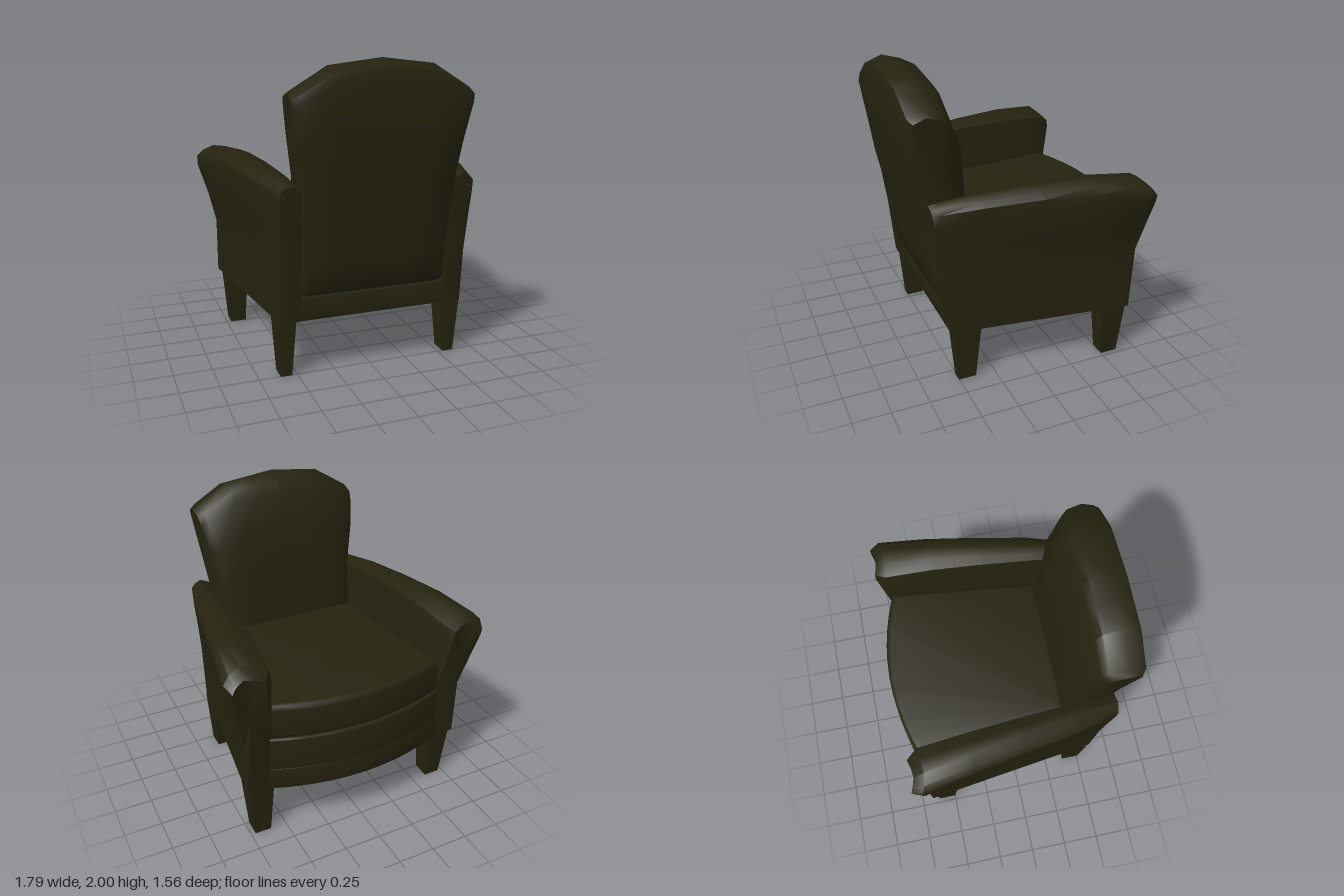
import * as THREE from 'three';
import { toCreasedNormals } from 'three/addons/utils/BufferGeometryUtils.js';

const upholstery = new THREE.MeshStandardMaterial({ color: 0x25230f });
upholstery.name = 'dark olive';

const lerp = THREE.MathUtils.lerp;

// Piecewise linear lookup in a list of [input, output] pairs
function along(table, v) {
  if (v <= table[0][0]) return table[0][1];
  for (let i = 1; i < table.length; i++) {
    const [a, p] = table[i - 1], [b, q] = table[i];
    if (v <= b) return lerp(p, q, (v - a) / (b - a));
  }
  return table[table.length - 1][1];
}

// Closed solid through equal-length rings of [x, y, z], capped at both ends
function loft(rings, crease = 0.75) {
  const n = rings[0].length;
  const pos = rings.flat();
  const idx = [];
  for (let r = 0; r < rings.length - 1; r++) {
    for (let i = 0; i < n; i++) {
      const a = r * n + i, b = r * n + (i + 1) % n;
      idx.push(a, b, b + n, a, b + n, a + n);
    }
  }
  [0, rings.length - 1].forEach((r) => {
    const c = pos.length;
    pos.push([0, 1, 2].map((k) => rings[r].reduce((s, p) => s + p[k], 0) / n));
    for (let i = 0; i < n; i++) {
      const a = r * n + i, b = r * n + (i + 1) % n;
      if (r === 0) idx.push(c, b, a); else idx.push(c, a, b);
    }
  });
  // Turn the faces outward when the enclosed volume comes out negative
  let volume = 0;
  const v = pos.map((p) => new THREE.Vector3(...p));
  for (let i = 0; i < idx.length; i += 3) {
    volume += v[idx[i]].dot(v[idx[i + 1]].clone().cross(v[idx[i + 2]]));
  }
  if (volume < 0) idx.reverse();
  const g = new THREE.BufferGeometry();
  g.setAttribute('position', new THREE.Float32BufferAttribute(pos.flat(), 3));
  g.setIndex(idx);
  return toCreasedNormals(g, crease);
}

function mesh(name, geometry) {
  const m = new THREE.Mesh(geometry, upholstery);
  m.name = name;
  return m;
}

// Trapezoid plan with a bowed seat edge toward -z, extruded upward
function bowedSlab(backX, backZ, frontX, frontZ, bowZ, y0, y1, bevel) {
  const s = new THREE.Shape();
  s.moveTo(-backX + bevel, -backZ + bevel);
  s.lineTo(backX - bevel, -backZ + bevel);
  s.lineTo(frontX - bevel, -frontZ - bevel);
  const steps = 10;
  for (let i = 1; i <= steps; i++) {
    const u = 1 - 2 * i / steps;
    s.lineTo(u * (frontX - bevel), -lerp(bowZ, frontZ, u * u) - bevel);
  }
  const g = new THREE.ExtrudeGeometry(s, {
    depth: y1 - y0 - 2 * bevel, bevelEnabled: true,
    bevelSize: bevel, bevelThickness: bevel, bevelSegments: 3,
  });
  g.rotateX(-Math.PI / 2).translate(0, y0 + bevel, 0);
  return toCreasedNormals(g, 0.75);
}

// Flared arm: sections follow the side from the seat front (t = 0) to the rear (t = 1)
function armGeometry(side) {
  const frontZ = [[0.76, -0.65], [1.0, -0.70], [1.25, -0.74], [1.33, -0.70]];
  const rearZ = [[0.54, 0.555], [0.76, 0.59], [1.27, 0.66]];
  const topY = [[0, 1.32], [0.27, 1.35], [0.52, 1.34], [0.8, 1.31], [1, 1.27]];
  const flare = [[0, 0.13], [0.78, 0.06], [1, 0.015]];
  const section = (t, inset) => {
    const xi = lerp(0.6, 0.49, t), xo = lerp(0.775, 0.62, t);
    const w = xo + along(flare, t), top = along(topY, t);
    const peak = lerp(0.79, 0.57, t), drop = lerp(1, 0.6, t);
    const points = [
      [xi, 0.38], [xi, 0.76], [xi, top - 0.12], [xi + 0.01, top - 0.05 * drop],
      [lerp(xi, peak, 0.5), top - 0.015], [peak, top],
      [lerp(peak, w, 0.65), top - 0.035 * drop], [w, top - 0.08 * drop],
      [w, top - 0.14], [lerp(xo, w, 0.55), 1.0], [xo, 0.76], [xo, 0.38],
    ];
    return points.map(([x, y]) => {
      // the upper end is pulled in to round the front of the arm
      const k = inset * THREE.MathUtils.smoothstep(y, 0.76, 1.2);
      const z = lerp(along(frontZ, y), along(rearZ, y), t);
      return [side * lerp(x, lerp(xi, w, 0.55), k), lerp(y, 1.15, k), z];
    });
  };
  const stations = [0.05, 0.27, 0.52, 0.78, 0.96, 1];
  return loft([section(0, 0.3), ...stations.map((t) => section(t, 0))]);
}

// Leaning backrest: side profile repeated across the width under an arched top
function backrestGeometry() {
  const profile = [ // [z, y]
    [0.555, 0.54], [0.585, 0.57], [0.60, 0.76], [0.71, 1.27], [0.745, 1.6],
    [0.775, 1.89], [0.76, 1.955], [0.65, 2.0], [0.53, 1.965], [0.49, 1.9],
    [0.41, 1.67], [0.38, 1.3], [0.34, 0.97], [0.33, 0.54],
  ];
  const halfWidth = [[0.54, 0.49], [1.2, 0.49], [1.43, 0.515], [1.81, 0.585]];
  const arch = [[0, 2.0], [0.58, 1.96], [1, 1.81]];
  const station = (u, pinch) => profile.map(([z, y]) => {
    const top = along(arch, Math.abs(u));
    const yy = y > 1.2 ? 1.2 + (y - 1.2) * (top - 1.2) / 0.8 : y;
    const mid = lerp(0.45, 0.65, THREE.MathUtils.clamp((y - 0.54) / 1.46, 0, 1));
    return [u * along(halfWidth, yy), yy, lerp(z, mid, pinch)];
  });
  return loft([
    station(-1, 0.25), station(-0.92, 0.05), station(-0.58, 0), station(-0.3, 0),
    station(0, 0), station(0.3, 0), station(0.58, 0), station(0.92, 0.05),
    station(1, 0.25),
  ]);
}

// Tapered square leg given as [x0, x1, z0, z1] at the top and the foot
function legGeometry(side, top, foot) {
  const ring = ([x0, x1, z0, z1], y) =>
    [[x0, z0], [x1, z0], [x1, z1], [x0, z1]].map(([x, z]) => [side * x, y, z]);
  return loft([ring(foot, 0), ring(top, 0.39)], 0.3);
}

export function createModel() {
  const chair = new THREE.Group();
  chair.name = 'armchair';

  chair.add(mesh('seatFrame', bowedSlab(0.615, 0.555, 0.63, -0.655, -0.78, 0.38, 0.53, 0.002)));
  chair.add(mesh('seatApron', bowedSlab(0.48, 0.5, 0.63, -0.655, -0.78, 0.5, 0.76, 0.012)));
  chair.add(mesh('seatCushion', bowedSlab(0.49, 0.36, 0.605, -0.665, -0.772, 0.755, 1.0, 0.035)));
  chair.add(mesh('backrest', backrestGeometry()));

  for (const side of [1, -1]) {
    const label = side > 0 ? 'left' : 'right';
    chair.add(mesh(label + 'Arm', armGeometry(side)));
    chair.add(mesh(label + 'SeatEndLeg',
      legGeometry(side, [0.59, 0.75, -0.645, -0.47], [0.61, 0.72, -0.615, -0.5])));
    chair.add(mesh(label + 'BackEndLeg',
      legGeometry(side, [0.51, 0.63, 0.35, 0.535], [0.535, 0.61, 0.385, 0.505])));
  }
  return chair;
}
